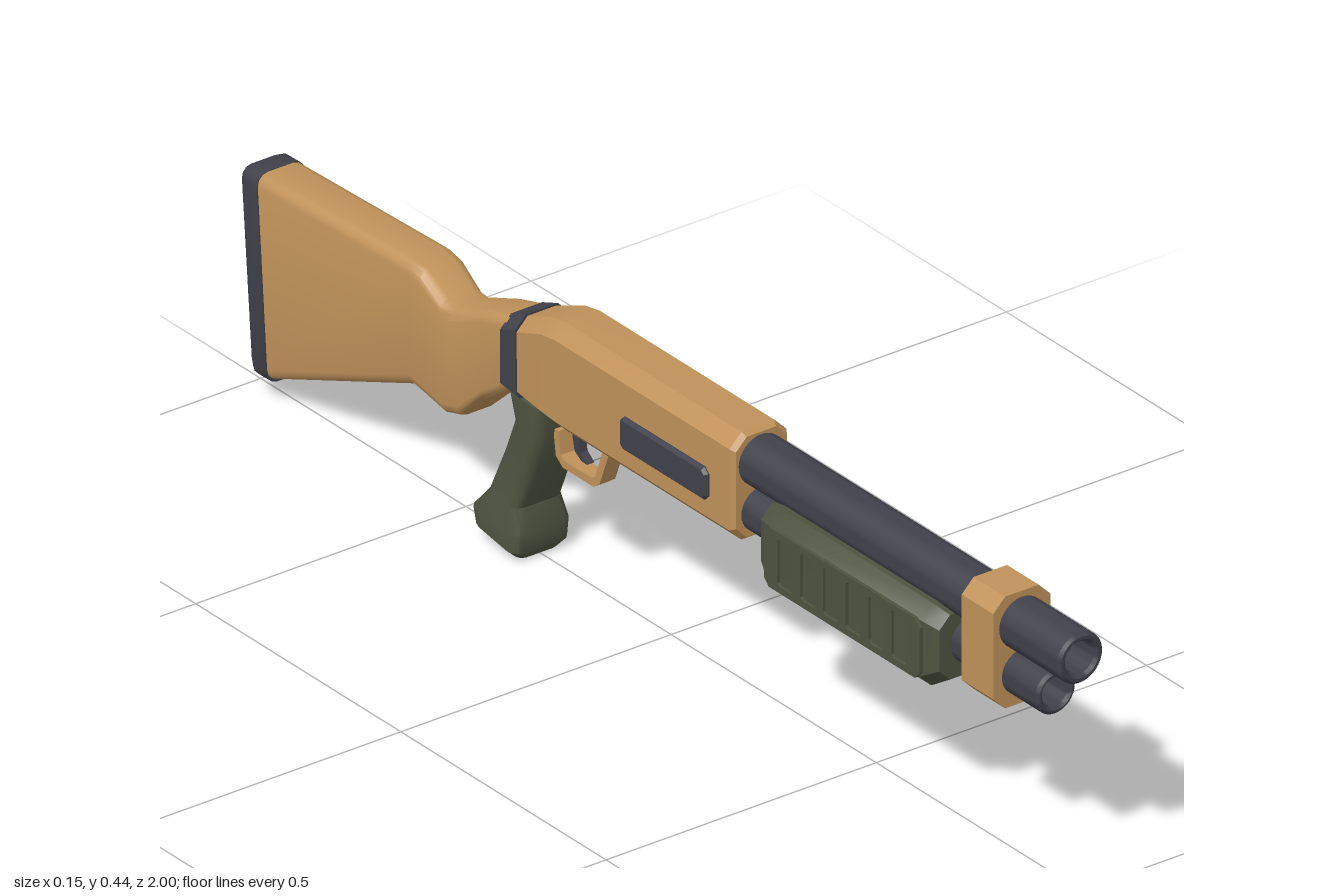
import * as THREE from 'three';
import { toCreasedNormals } from 'three/addons/utils/BufferGeometryUtils.js';

const mat = (name, color) => {
  const m = new THREE.MeshStandardMaterial({ color });
  m.name = name;
  return m;
};

// Loft of rounded rectangles. Section: [topZ, topY, bottomZ, bottomY, halfWidth, corner]
function loft(sections, seg = 1) {
  const rings = sections.map(([az, ay, bz, by, w, c]) => {
    const a = new THREE.Vector3(0, ay, az), b = new THREE.Vector3(0, by, bz);
    const h = a.distanceTo(b) / 2;
    const u = a.clone().sub(b).normalize();
    const mid = a.clone().add(b).multiplyScalar(0.5);
    const ring = [];
    for (let q = 0; q < 4; q++) {
      const sx = q === 0 || q === 3 ? 1 : -1, sy = q < 2 ? 1 : -1;
      for (let k = 0; k <= seg; k++) {
        const t = (q + k / seg) * Math.PI / 2;
        const p = mid.clone().addScaledVector(u, sy * (h - c) + c * Math.sin(t));
        p.x = sx * (w - c) + c * Math.cos(t);
        ring.push(p);
      }
    }
    return ring;
  });
  const n = rings[0].length, pos = [];
  const tri = (...ps) => ps.forEach((p) => pos.push(p.x, p.y, p.z));
  for (let i = 0; i < rings.length - 1; i++) {
    for (let j = 0; j < n; j++) {
      const k = (j + 1) % n, r = rings[i], s = rings[i + 1];
      tri(r[j], s[j], s[k]);
      tri(r[j], s[k], r[k]);
    }
  }
  const first = rings[0], last = rings[rings.length - 1];
  for (let j = 1; j < n - 1; j++) {
    tri(first[0], first[j], first[j + 1]);
    tri(last[0], last[j + 1], last[j]);
  }
  const g = new THREE.BufferGeometry();
  g.setAttribute('position', new THREE.Float32BufferAttribute(pos, 3));
  g.computeVertexNormals();
  return toCreasedNormals(g, 0.6);
}

// Side outline of [z, y] points, extruded across x
function sidePlate(points, width) {
  const shape = new THREE.Shape(points.map(([z, y]) => new THREE.Vector2(-z, y)));
  const g = new THREE.ExtrudeGeometry(shape, { depth: width, bevelEnabled: false });
  return g.translate(0, 0, -width / 2).rotateY(Math.PI / 2);
}

// Hollow tube along z with a softened muzzle rim
function tube(r, inner, back, front, boreEnd) {
  const e = 0.005;
  const pts = [[r, back], [r, front - e], [r - e, front], [inner + e, front], [inner, front - e], [inner, boreEnd]];
  const g = new THREE.LatheGeometry(pts.map(([x, y]) => new THREE.Vector2(x, y)), 32);
  return toCreasedNormals(g.rotateX(Math.PI / 2), 0.6);
}

// Rectangle path around a centre
function rect(PathType, x, y, w, h, c) {
  const p = new PathType(), a = w / 2, b = h / 2;
  [[a - c, -b], [a, -b + c], [a, b - c], [a - c, b], [-a + c, b], [-a, b - c], [-a, -b + c], [-a + c, -b]]
    .forEach(([dx, dy], i) => (i ? p.lineTo(x + dx, y + dy) : p.moveTo(x + dx, y + dy)));
  p.closePath();
  return p;
}

export function createModel() {
  const tan = mat('tan', 0xc0925a);
  const green = mat('olive green', 0x4e5340);
  const dark = mat('dark steel', 0x40414a);
  const model = new THREE.Group();
  model.name = 'pumpShotgun';
  const add = (name, geometry, material) => {
    const m = new THREE.Mesh(geometry, material);
    m.name = name;
    model.add(m);
    return m;
  };

  // Barrel and magazine tube
  add('barrel', tube(0.042, 0.027, 0.2, 1, 0.85), dark).position.y = 0.388;
  add('magazineTube', tube(0.037, 0.024, 0.2, 0.94, 0.85), dark).position.y = 0.306;
  add('barrelBand', loft([
    [0.855, 0.44, 0.855, 0.253, 0.053, 0.022],
    [0.778, 0.44, 0.778, 0.253, 0.053, 0.022],
  ]), tan);

  // Receiver with sloping rear
  add('receiver', loft([
    [0.22, 0.434, 0.22, 0.266, 0.047, 0.02],
    [0.212, 0.44, 0.212, 0.26, 0.053, 0.022],
    [-0.215, 0.44, -0.215, 0.26, 0.053, 0.022],
    [-0.25, 0.434, -0.25, 0.262, 0.052, 0.022],
    [-0.32, 0.405, -0.32, 0.267, 0.047, 0.021],
  ]), tan);
  add('rearCollar', loft([
    [-0.315, 0.41, -0.312, 0.262, 0.05, 0.02],
    [-0.352, 0.396, -0.352, 0.266, 0.049, 0.02],
  ]), dark);

  // Raised port covers on both sides
  for (const s of [1, -1]) {
    const g = new THREE.ExtrudeGeometry(rect(THREE.Shape, 0, 0, 0.204, 0.045, 0.006), {
      depth: 0.004, bevelSize: 0.005, bevelThickness: 0.005, bevelSegments: 1,
    });
    const cover = add(s > 0 ? 'leftPortCover' : 'rightPortCover', g, dark);
    cover.rotation.y = s * Math.PI / 2;
    cover.position.set(s * 0.051, 0.337, 0.056);
  }

  // Sliding fore grip with slotted side panels
  add('foreGrip', loft([
    [0.73, 0.358, 0.73, 0.25, 0.058, 0.02],
    [0.7, 0.367, 0.695, 0.228, 0.068, 0.022],
    [0.325, 0.367, 0.325, 0.228, 0.068, 0.022],
    [0.295, 0.358, 0.295, 0.25, 0.058, 0.02],
  ]), green);
  for (const s of [1, -1]) {
    const shape = rect(THREE.Shape, 0, 0, 0.38, 0.1, 0.012);
    for (let i = 0; i < 6; i++) {
      shape.holes.push(rect(THREE.Path, (i - 2.5) * 0.0555, 0, 0.036, 0.078, 0.004));
    }
    const g = new THREE.ExtrudeGeometry(shape, { depth: 0.006, bevelEnabled: false });
    const panel = add(s > 0 ? 'leftGripPanel' : 'rightGripPanel', g, green);
    panel.rotation.y = s * Math.PI / 2;
    panel.position.set(s * 0.067, 0.297, 0.512);
  }

  // Pistol grip, from the receiver down to the flared foot
  add('pistolGrip', loft([
    [-0.345, 0.275, -0.262, 0.275, 0.044, 0.017],
    [-0.332, 0.235, -0.266, 0.225, 0.044, 0.017],
    [-0.357, 0.17, -0.285, 0.165, 0.045, 0.017],
    [-0.393, 0.092, -0.319, 0.085, 0.046, 0.017],
    [-0.424, 0.055, -0.307, 0.045, 0.054, 0.02],
    [-0.417, 0.03, -0.311, 0.013, 0.054, 0.02],
    [-0.4, 0.02, -0.32, 0.0, 0.04, 0.015],
  ], 3), green);

  // Trigger guard and trigger
  add('triggerGuard', sidePlate([
    [-0.125, 0.268], [-0.155, 0.19], [-0.17, 0.179], [-0.245, 0.179], [-0.262, 0.192], [-0.268, 0.235],
    [-0.256, 0.235], [-0.25, 0.198], [-0.242, 0.192], [-0.175, 0.192], [-0.166, 0.198], [-0.14, 0.268],
  ], 0.029), tan);
  add('trigger', sidePlate([
    [-0.206, 0.268], [-0.216, 0.235], [-0.213, 0.215], [-0.196, 0.202],
    [-0.21, 0.203], [-0.226, 0.213], [-0.231, 0.235], [-0.226, 0.268],
  ], 0.014), dark);

  // Shoulder stock and butt pad
  add('stock', loft([
    [-0.345, 0.396, -0.345, 0.27, 0.043, 0.018],
    [-0.41, 0.378, -0.41, 0.228, 0.041, 0.018],
    [-0.487, 0.348, -0.468, 0.175, 0.04, 0.018],
    [-0.512, 0.35, -0.505, 0.164, 0.04, 0.018],
    [-0.56, 0.38, -0.55, 0.174, 0.042, 0.019],
    [-0.59, 0.386, -0.58, 0.18, 0.043, 0.019],
    [-0.955, 0.374, -0.93, 0.038, 0.043, 0.019],
  ], 3), tan);
  add('buttPad', loft([
    [-0.952, 0.375, -0.926, 0.035, 0.045, 0.02],
    [-0.985, 0.374, -0.958, 0.034, 0.045, 0.02],
    [-0.996, 0.368, -0.969, 0.042, 0.039, 0.018],
    [-1.0, 0.358, -0.974, 0.052, 0.03, 0.014],
  ], 3), dark);

  return model;
}
